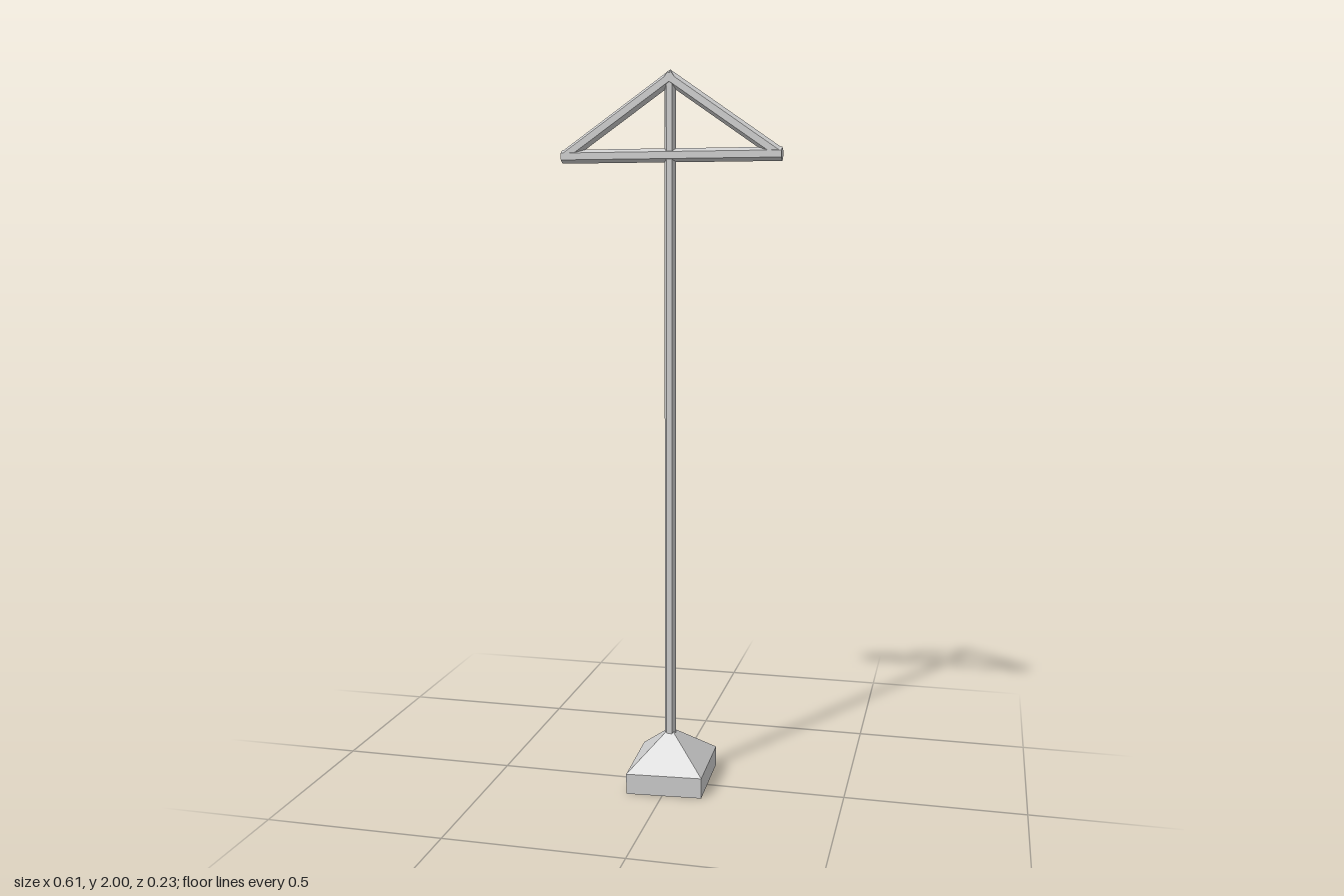
import * as THREE from 'three';

const material = new THREE.MeshStandardMaterial({ color: 0xcccccc, flatShading: true, side: THREE.DoubleSide });
const Z = 0.004; // plane of the pole and the triangle

// Six-sided bar between two points in the plane z = Z
function bar(name, x1, y1, x2, y2, radius) {
  const a = new THREE.Vector3(x1, y1, Z), b = new THREE.Vector3(x2, y2, Z);
  const dir = b.clone().sub(a);
  const geo = new THREE.CylinderGeometry(radius, radius, dir.length(), 6);
  geo.rotateY(Math.PI / 2); // one ridge along the upper edge of the bar
  const mesh = new THREE.Mesh(geo, material);
  mesh.name = name;
  mesh.position.copy(a).add(b).multiplyScalar(0.5);
  mesh.quaternion.setFromUnitVectors(new THREE.Vector3(0, 1, 0), dir.normalize());
  return mesh;
}

// Hollow, slightly skewed foot: four walls and a pyramid roof, open below
function foot() {
  const corners = [[-0.102, 0.115], [0.111, 0.099], [0.11, -0.117], [-0.105, -0.102]];
  const apex = [0, 0.165, Z];
  const low = ([x, z]) => [x, z > 0 ? 0 : 0.013, z];
  const high = ([x, z]) => [x, z > 0 ? 0.058 : 0.07, z];
  const points = [];
  corners.forEach((c, i) => {
    const d = corners[(i + 1) % 4];
    points.push(low(c), low(d), high(d), low(c), high(d), high(c)); // wall
    points.push(high(c), high(d), apex); // roof
  });
  const geo = new THREE.BufferGeometry();
  geo.setAttribute('position', new THREE.Float32BufferAttribute(points.flat(), 3));
  geo.computeVertexNormals();
  const mesh = new THREE.Mesh(geo, material);
  mesh.name = 'foot';
  return mesh;
}

export function createModel() {
  const model = new THREE.Group();
  model.name = 'polePost';
  model.add(foot());
  model.add(bar('pole', 0, 0.145, 0, 1.98, 0.016));

  // Triangular head
  const head = new THREE.Group();
  head.name = 'triangleHead';
  head.add(bar('crossBar', -0.304, 1.775, 0.304, 1.775, 0.0185));
  for (const s of [-1, 1]) {
    head.add(bar(s > 0 ? 'leftSlope' : 'rightSlope', s * 0.294, 1.776, -s * 0.01, 1.985, 0.0175));
  }
  model.add(head);
  return model;
}
